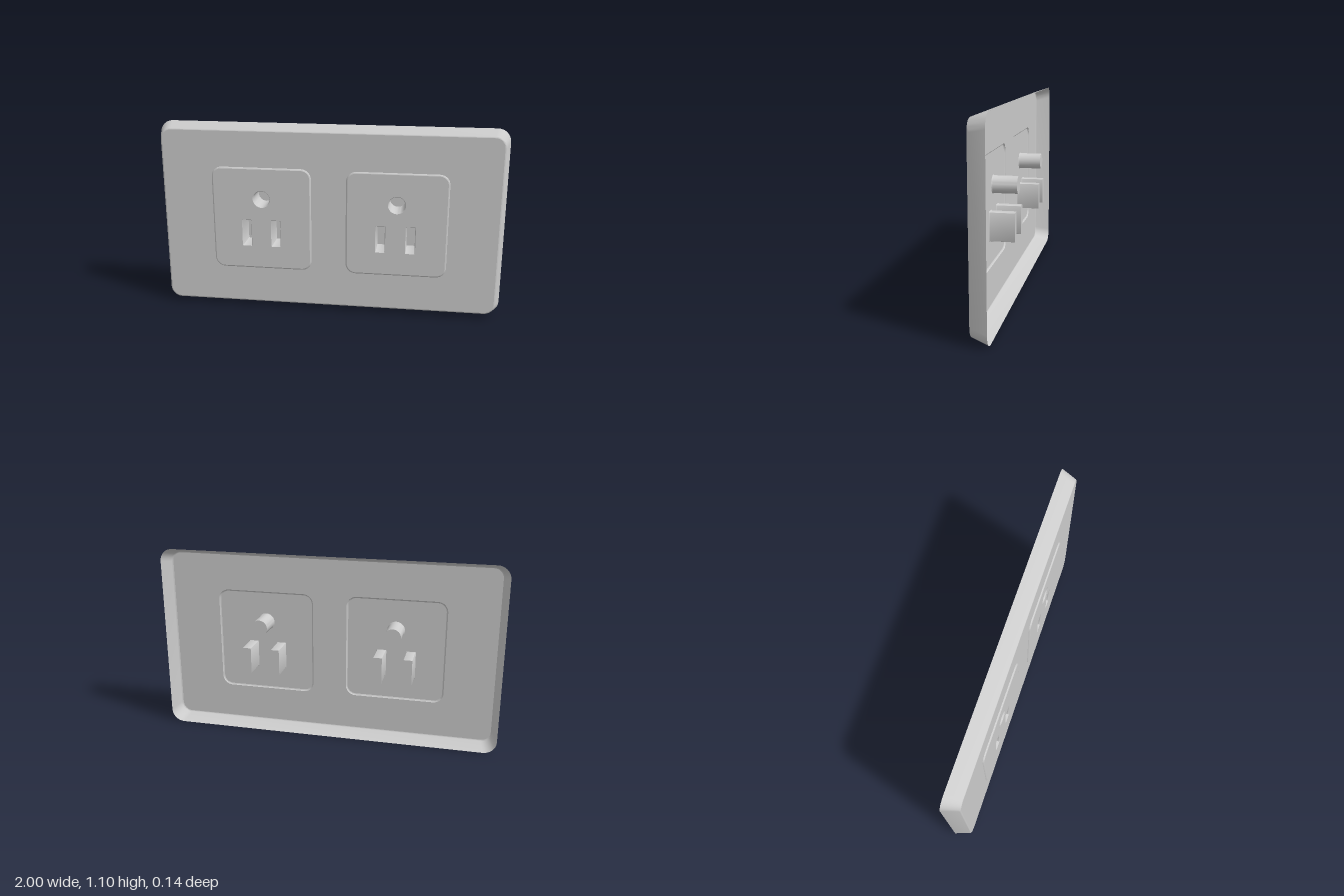
import * as THREE from 'three';
import { toCreasedNormals } from 'three/addons/utils/BufferGeometryUtils.js';

const material = new THREE.MeshStandardMaterial({ color: 0xcccccc, side: THREE.DoubleSide });

// Outline of a rounded rectangle, always with the same number of points
function outline(cx, cy, w, h, r, n = 8) {
  const points = [];
  for (let q = 0; q < 4; q++) {
    const sx = q === 0 || q === 3 ? 1 : -1;
    const sy = q < 2 ? 1 : -1;
    for (let i = 0; i <= n; i++) {
      const a = (q + i / n) * Math.PI / 2;
      points.push(new THREE.Vector2(
        cx + sx * (w / 2 - r) + r * Math.cos(a),
        cy + sy * (h / 2 - r) + r * Math.sin(a)));
    }
  }
  return points;
}

// Skin through a list of { points, z } outlines, from back to front
function loft(rings) {
  const position = [], index = [];
  const n = rings[0].points.length;
  for (const { points, z } of rings) for (const p of points) position.push(p.x, p.y, z);
  for (let k = 0; k < rings.length - 1; k++) {
    for (let i = 0; i < n; i++) {
      const a = k * n + i, b = k * n + (i + 1) % n;
      index.push(a, b, b + n, a, b + n, a + n);
    }
  }
  const geometry = new THREE.BufferGeometry();
  geometry.setAttribute('position', new THREE.Float32BufferAttribute(position, 3));
  geometry.setIndex(index);
  return toCreasedNormals(geometry, 0.6);
}

// Flat sheet at depth z with optional holes
function sheet(points, z, holes = []) {
  const shape = new THREE.Shape(points);
  holes.forEach(h => shape.holes.push(new THREE.Path(h)));
  return new THREE.ShapeGeometry(shape).translate(0, 0, z);
}

function add(parent, name, geometry) {
  const mesh = new THREE.Mesh(geometry, material);
  mesh.name = name;
  parent.add(mesh);
}

const BACK = -0.033, FRONT = 0.06, RAISED = 0.068, POCKET = -0.068;
const MID = 0.555;

export function createModel() {
  const group = new THREE.Group();
  group.name = 'wallOutlet';

  const sockets = [[-0.388, 0.556], [0.392, 0.552]];
  const socketOutline = ([x, y], inset) =>
    outline(x, y, 0.592 - 2 * inset, 0.622 - 2 * inset, 0.065 - inset);

  // Cover plate: tapered open-backed rim with a softened front edge
  const plate = (inset, r) => outline(0, MID, 2 - 2 * inset, 1.1 - 2 * inset, r);
  const faceEdge = plate(0.037, 0.055);
  add(group, 'plateRim', loft([
    { points: plate(0, 0.075), z: BACK },
    { points: plate(0.027, 0.065), z: 0.05 },
    { points: plate(0.029, 0.063), z: 0.055 },
    { points: plate(0.032, 0.06), z: 0.0585 },
    { points: faceEdge, z: FRONT },
  ]));
  add(group, 'plateFace', sheet(faceEdge, FRONT, sockets.map(s => socketOutline(s, 0))));

  sockets.forEach((s, i) => {
    const socket = new THREE.Group();
    socket.name = i === 0 ? 'rightSocket' : 'leftSocket';
    group.add(socket);
    const [x, y] = s;

    // Round ground hole above two upright slots
    const pockets = [
      { name: 'groundPocket', x, y: y + 0.12, w: 0.094, h: 0.094, r: 0.047 },
      { name: 'rightSlotPocket', x: x - 0.09, y: y - 0.086, w: 0.05, h: 0.154, r: 0.001 },
      { name: 'leftSlotPocket', x: x + 0.082, y: y - 0.086, w: 0.05, h: 0.154, r: 0.001 },
    ];
    const rim = (p, grow) => outline(p.x, p.y, p.w + 2 * grow, p.h + 2 * grow, p.r + grow);

    // Raised face with a rounded border
    const edge = socketOutline(s, 0.015);
    add(socket, 'socketBorder', loft([
      { points: socketOutline(s, 0), z: FRONT },
      { points: socketOutline(s, 0.006), z: FRONT },
      { points: socketOutline(s, 0.008), z: 0.064 },
      { points: socketOutline(s, 0.011), z: 0.067 },
      { points: edge, z: RAISED },
    ]));
    add(socket, 'socketFace', sheet(edge, RAISED, pockets.map(p => rim(p, 0.004))));

    // Closed pockets that project behind the face
    for (const p of pockets) {
      add(socket, p.name, loft([
        { points: rim(p, 0), z: POCKET },
        { points: rim(p, 0), z: RAISED - 0.006 },
        { points: rim(p, 0.0015), z: RAISED - 0.002 },
        { points: rim(p, 0.004), z: RAISED },
      ]));
      add(socket, p.name + 'End', sheet(rim(p, 0), POCKET));
    }
  });

  // Rest the rim on the ground
  group.position.y = -(MID - 0.55);
  return group;
}
